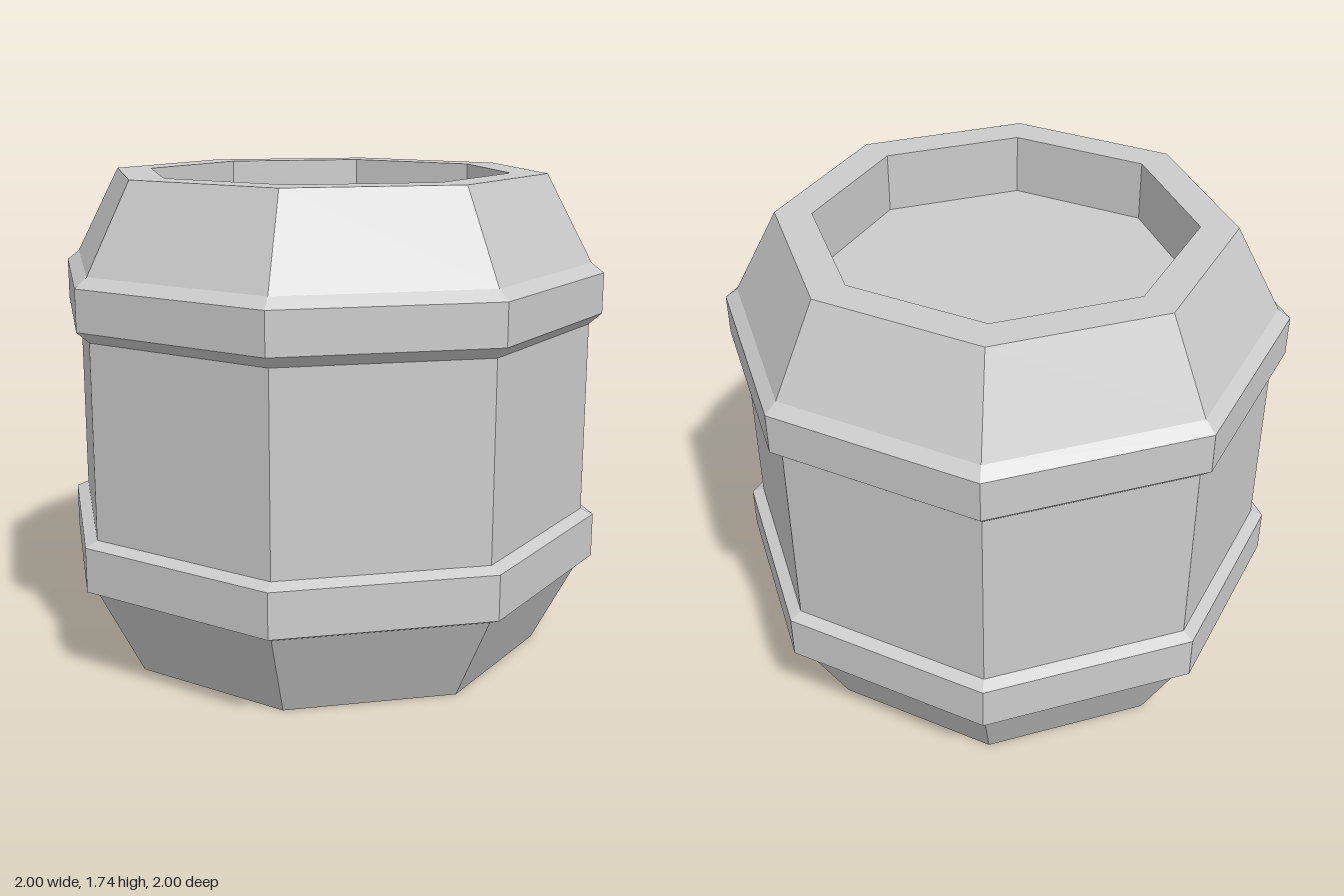
import * as THREE from 'three';

const SIDES = 8;
const HEIGHT = 1.74;
const RIM = 0.66; // inner radius of both rims

export function createModel() {
  const group = new THREE.Group();
  const material = new THREE.MeshStandardMaterial({ color: 0xcccccc, flatShading: true });

  const add = (name, geometry) => {
    const mesh = new THREE.Mesh(geometry, material);
    mesh.name = name;
    group.add(mesh);
    return mesh;
  };
  // Eight-sided lathe from [radius, height] pairs, corners on the axes
  const turn = (points) =>
    new THREE.LatheGeometry(points.map(([r, y]) => new THREE.Vector2(r, y)), SIDES);

  // Staves: recess wall, bottom rim, outer wall, top rim, recess wall
  add('staves', turn([
    [RIM, 0.21], [RIM, 0], [0.79, 0], [0.955, 0.32],
    [0.955, 1.43], [0.79, HEIGHT], [RIM, HEIGHT], [RIM, HEIGHT - 0.22],
  ]));

  // Hoops with bevelled edges
  add('lowerHoop', turn([[0.955, 0.32], [1, 0.34], [1, 0.5], [0.955, 0.52]]));
  add('upperHoop', turn([[0.955, 1.21], [1, 1.25], [1, 1.395], [0.955, 1.43]]));

  // Sunken flat ends
  const lid = add('lid', new THREE.CircleGeometry(RIM, SIDES));
  lid.rotation.x = -Math.PI / 2;
  lid.position.y = HEIGHT - 0.22;
  const base = add('base', new THREE.CircleGeometry(RIM, SIDES));
  base.rotation.x = Math.PI / 2;
  base.position.y = 0.21;

  return group;
}
